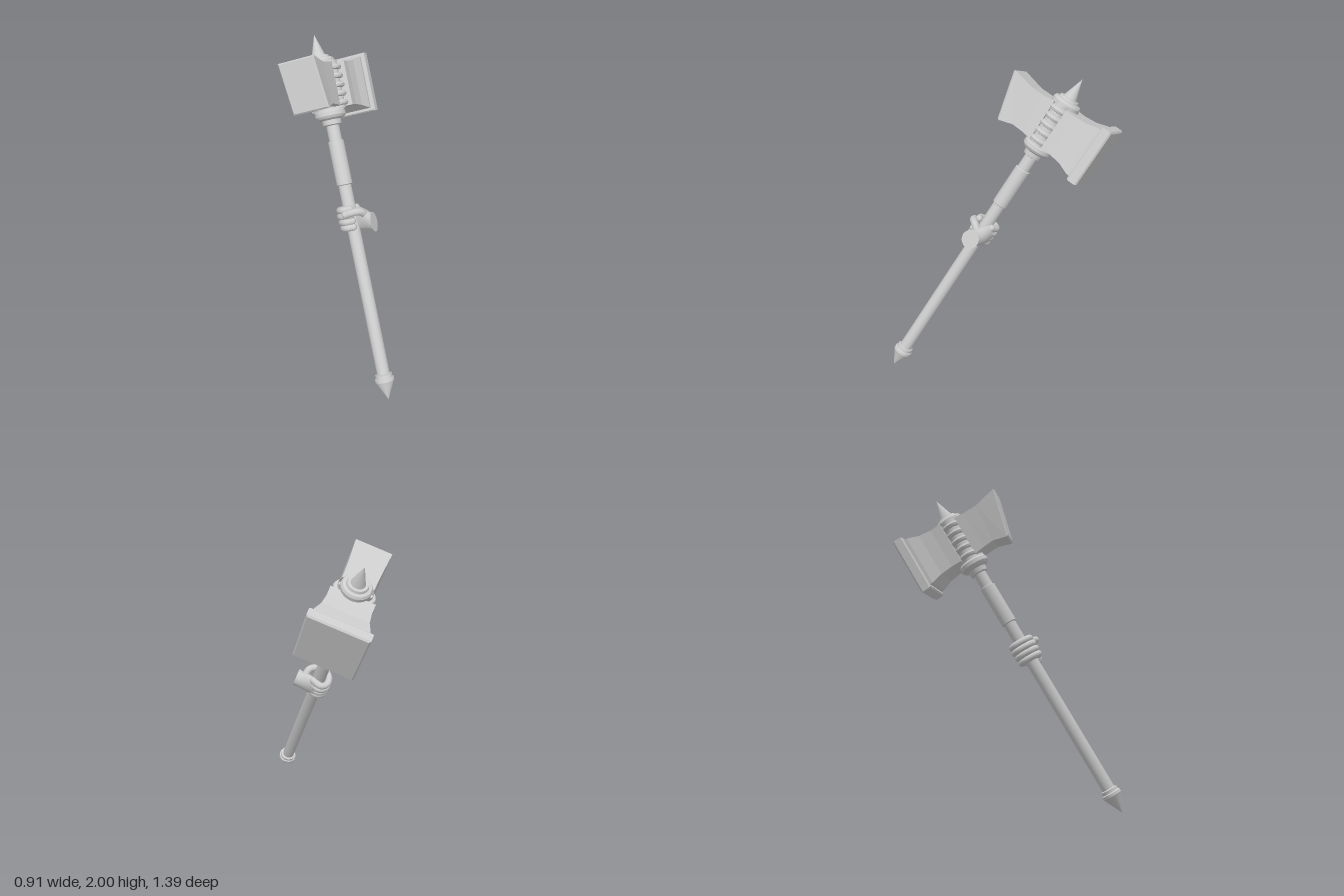
import * as THREE from 'three';

const material = new THREE.MeshStandardMaterial({ color: 0xcccccc, side: THREE.DoubleSide });
const flatMaterial = new THREE.MeshStandardMaterial({ color: 0xcccccc, flatShading: true, side: THREE.DoubleSide });

function addMesh(parent, name, geometry, mat = material) {
  const mesh = new THREE.Mesh(geometry, mat);
  mesh.name = name;
  parent.add(mesh);
  return mesh;
}

// Skin a list of equal-length rings of Vector3 and close both ends
function loft(rings) {
  const n = rings[0].length;
  const positions = [];
  const index = [];
  rings.forEach((ring) => ring.forEach((p) => positions.push(p.x, p.y, p.z)));
  for (let i = 0; i < rings.length - 1; i++) {
    for (let j = 0; j < n; j++) {
      const a = i * n + j, b = i * n + (j + 1) % n;
      index.push(a, b, b + n, a, b + n, a + n);
    }
  }
  [rings[0], rings[rings.length - 1]].forEach((ring, end) => {
    const start = positions.length / 3;
    ring.forEach((p) => positions.push(p.x, p.y, p.z));
    for (let j = 1; j < n - 1; j++) {
      if (end) index.push(start, start + j, start + j + 1);
      else index.push(start, start + j + 1, start + j);
    }
  });
  const geometry = new THREE.BufferGeometry();
  geometry.setAttribute('position', new THREE.Float32BufferAttribute(positions, 3));
  geometry.setIndex(index);
  geometry.computeVertexNormals();
  return geometry;
}

// Rectangular section across the head; skew leans it along the head axis
function section([x, halfY, halfZ, skew = 0]) {
  return [[1, 1], [-1, 1], [-1, -1], [1, -1]].map(([sy, sz]) =>
    new THREE.Vector3(x + skew * sy * halfY, HEAD_Y + sy * halfY, sz * halfZ));
}

// Turned part with crisp edges: every profile span is its own band
function turned(parent, name, profile, segments = 32) {
  const group = new THREE.Group();
  group.name = name;
  for (let i = 0; i < profile.length - 1; i++) {
    const pts = [profile[i], profile[i + 1]].map(([r, y]) => new THREE.Vector2(r, y));
    addMesh(group, name + 'Band', new THREE.LatheGeometry(pts, segments));
  }
  parent.add(group);
  return group;
}

const HEAD_Y = 2.01;
const HAND_Y = 1.176;

function buildHead(parent) {
  // Narrow side with a leaning end face
  addMesh(parent, 'wedgeHead', loft([
    [-0.328, 0.148, 0.11, -0.25],
    [-0.318, 0.156, 0.118, -0.25],
    [-0.2, 0.128, 0.106, -0.08],
    [-0.12, 0.13, 0.102],
    [-0.05, 0.138, 0.1],
  ].map(section)), flatMaterial);

  // Broad side flaring into a square striking plate
  addMesh(parent, 'strikingHead', loft([
    [0.05, 0.14, 0.14],
    [0.12, 0.138, 0.138],
    [0.2, 0.146, 0.146],
    [0.275, 0.168, 0.168],
    [0.295, 0.168, 0.168],
    [0.295, 0.183, 0.183],
    [0.305, 0.191, 0.191],
    [0.355, 0.191, 0.191],
    [0.365, 0.182, 0.182],
  ].map(section)), flatMaterial);

  // Oval binding between the two sides
  const bands = [[0.108, 1.86]];
  for (let i = 0; i < 5; i++) {
    const y = 1.875 + i * 0.056;
    bands.push([0.108, y], [0.126, y + 0.005], [0.132, y + 0.018], [0.126, y + 0.031], [0.108, y + 0.036]);
  }
  bands.push([0.108, 2.16]);
  turned(parent, 'binding', bands, 40).scale.set(0.66, 1, 1);

  // Collars above and below the binding
  turned(parent, 'lowerCollar', [
    [0.042, 1.765], [0.058, 1.77], [0.062, 1.8], [0.085, 1.81], [0.097, 1.825],
    [0.097, 1.85], [0.088, 1.862], [0.088, 1.885], [0, 1.885],
  ]);
  turned(parent, 'upperCollar', [
    [0.07, 2.125], [0.086, 2.13], [0.095, 2.145], [0.095, 2.17], [0.086, 2.184],
    [0.068, 2.188], [0.062, 2.203], [0, 2.203],
  ]);
  const spike = addMesh(parent, 'topSpike', new THREE.ConeGeometry(0.047, 0.145, 32));
  spike.position.y = 2.2685;
}

function buildHandle(parent) {
  turned(parent, 'shaft', [[0.041, 0.12], [0.041, 1.88]]);
  turned(parent, 'gripSleeve', [[0.041, 1.385], [0.05, 1.39], [0.05, 1.665], [0.041, 1.67]]);
  turned(parent, 'pommel', [
    [0, 0], [0.058, 0.115], [0.062, 0.122], [0.062, 0.14], [0.054, 0.146],
    [0.054, 0.165], [0.041, 0.17],
  ]);
}

// Tapering finger with rounded ends, swept along a smooth path
function finger(parent, name, points, radius) {
  const path = new THREE.CatmullRomCurve3(points.map((p) => new THREE.Vector3(...p)));
  addMesh(parent, name, new THREE.TubeGeometry(path, 28, radius, 12, false));
  [0, 1].forEach((t) => {
    addMesh(parent, name + 'Tip', new THREE.SphereGeometry(radius, 12, 10)).position.copy(path.getPoint(t));
  });
}

function buildHand(parent) {
  const hand = new THREE.Group();
  hand.name = 'hand';
  hand.position.y = HAND_Y;
  parent.add(hand);

  // Palm and cut wrist: centre x, y, z, half thickness, half height
  const palm = [
    [-0.004, -0.05, 0.145, 0.058, 0.062],
    [0.002, -0.042, 0.125, 0.052, 0.058],
    [0.016, -0.025, 0.09, 0.05, 0.066],
    [0.034, -0.01, 0.045, 0.04, 0.076],
    [0.048, 0, 0.0, 0.032, 0.077],
    [0.054, 0, -0.035, 0.022, 0.07],
  ];
  addMesh(hand, 'palm', loft(palm.map(([x, y, z, thick, tall]) =>
    Array.from({ length: 20 }, (_, i) => {
      const a = (i / 20) * Math.PI * 2;
      return new THREE.Vector3(x + thick * Math.sin(a), y + tall * Math.cos(a), z);
    }))));

  // Four fingers curled round the shaft
  for (let i = 0; i < 4; i++) {
    const y = -0.056 + i * 0.038;
    const r = 1 - 0.05 * Math.abs(i - 2);
    const curl = [[0.05, 0.03], [0.067, -0.03], [0.035, -0.066], [-0.025, -0.062], [-0.066, -0.025], [-0.06, 0.025]];
    finger(hand, 'finger', curl.map(([x, z]) => [x * r, y, z * r]), 0.0225);
  }

  // Thumb closing over the finger tips
  finger(hand, 'thumb', [[0, 0, 0.095], [-0.045, 0.03, 0.085], [-0.08, 0.035, 0.045], [-0.088, 0.03, 0.0]], 0.024);
}

export function createModel() {
  const model = new THREE.Group();
  model.name = 'warHammer';
  const hammer = new THREE.Group();
  hammer.name = 'hammer';
  model.add(hammer);

  buildHandle(hammer);
  buildHead(hammer);
  buildHand(hammer);

  // Raise and lean the upright hammer from its pommel tip
  const up = new THREE.Vector3(0.513, 1.95, -1.19).normalize();
  const depth = new THREE.Vector3(0.505, 0.348, 0.787);
  depth.addScaledVector(up, -depth.dot(up)).normalize();
  const along = new THREE.Vector3().crossVectors(up, depth);
  hammer.quaternion.setFromRotationMatrix(new THREE.Matrix4().makeBasis(along, up, depth));
  hammer.position.set(-0.424, 0.002, 0.694);
  return model;
}
